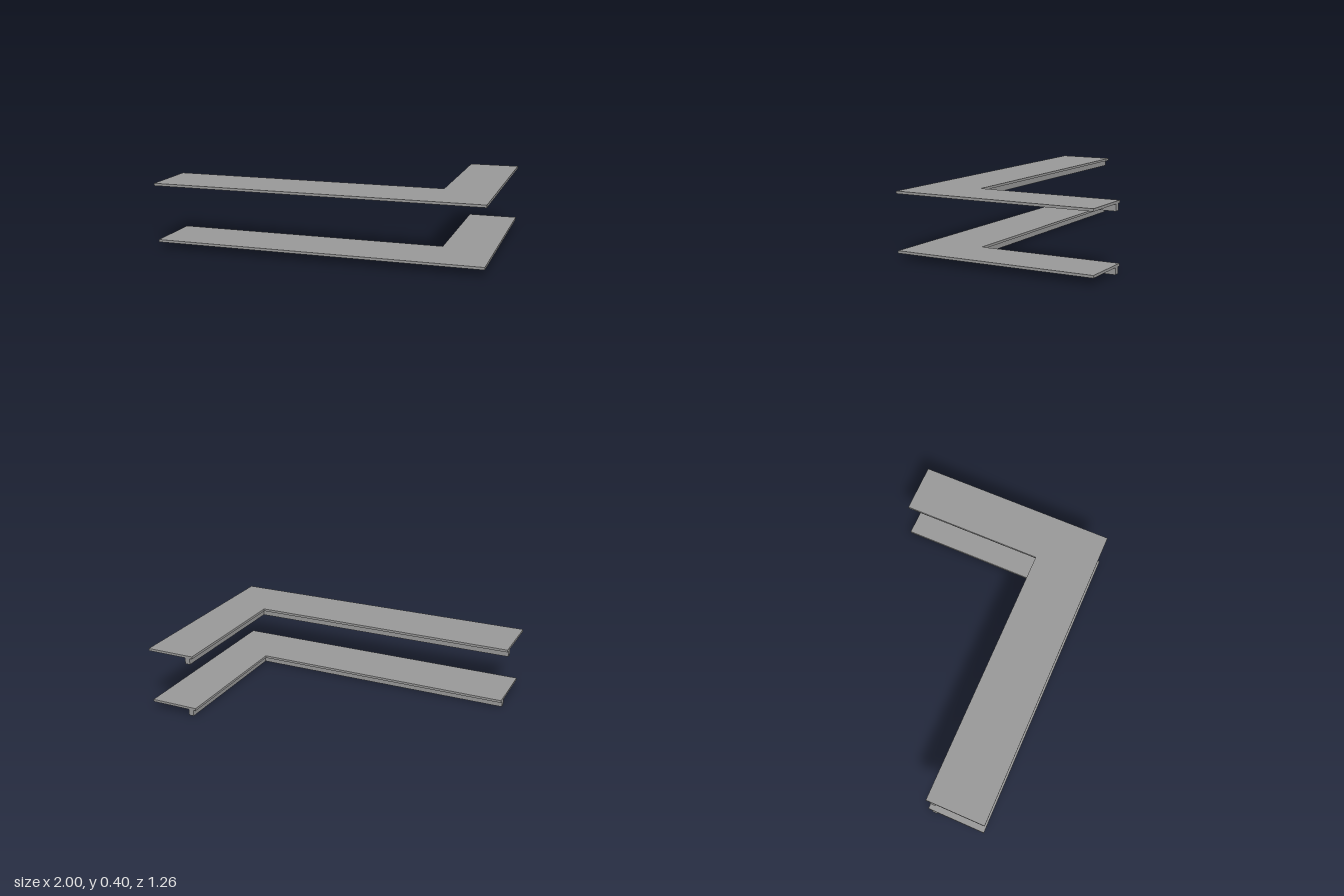
import * as THREE from 'three';

const grey = new THREE.MeshStandardMaterial({ color: 0x999999 });
grey.name = 'grey';

const BACK = -0.63, FRONT = 0.63, LEFT = 1;

// L-shaped slab: outer corner at (outerX, outerZ), inner corner at (innerX, innerZ)
function slab(name, startX, outerX, outerZ, innerX, innerZ, y, height) {
  const shape = new THREE.Shape([
    [startX, outerZ], [outerX, outerZ], [outerX, BACK],
    [innerX, BACK], [innerX, innerZ], [startX, innerZ],
  ].map(([x, z]) => new THREE.Vector2(x, -z)));
  const geometry = new THREE.ExtrudeGeometry(shape, { depth: height, bevelEnabled: false });
  geometry.rotateX(-Math.PI / 2);
  const mesh = new THREE.Mesh(geometry, grey);
  mesh.name = name;
  mesh.position.y = y;
  return mesh;
}

// Corner shelf: thin top board with a narrow rail set in from its inner edge
function shelf(name, startX, y) {
  const group = new THREE.Group();
  group.name = name;
  group.position.y = y;
  group.add(
    slab('board', startX, LEFT, FRONT, 0.69, 0.26, 0.039, 0.015),
    slab('rail', startX, 0.74, 0.32, 0.708, 0.286, 0, 0.039),
  );
  return group;
}

export function createModel() {
  const model = new THREE.Group();
  model.name = 'cornerShelves';
  model.add(shelf('lowerShelf', -0.985, 0), shelf('upperShelf', -1, 0.347));
  return model;
}
